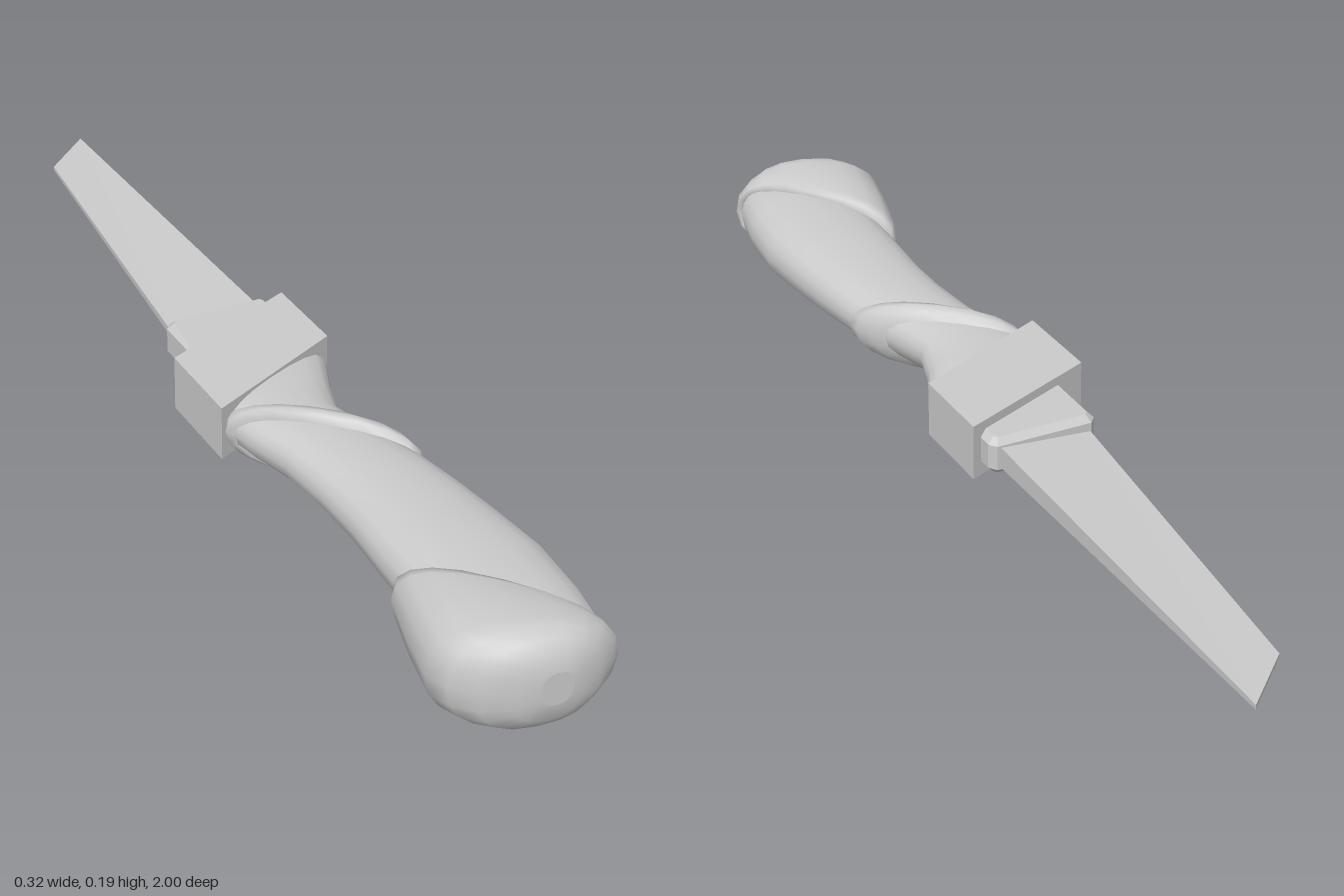
import * as THREE from 'three';

const MID = 0.096; // height of the knife's middle plane
const mat = new THREE.MeshStandardMaterial({ color: 0xcccccc, side: THREE.DoubleSide });

function add(group, name, geometry) {
  const mesh = new THREE.Mesh(geometry, mat);
  mesh.name = name;
  mesh.position.y = MID;
  group.add(mesh);
}

// Skin over rounded sections; each is [leftX, leftZ, rightX, rightZ, halfHeight]
function loft(sections, power = 0.85, n = 20) {
  const pos = [], idx = [];
  const bend = (v) => Math.sign(v) * Math.abs(v) ** power;
  const ring = ([lx, lz, rx, rz, h]) => {
    for (let j = 0; j < n; j++) {
      const a = (j / n) * Math.PI * 2;
      const t = 0.5 + 0.5 * bend(Math.cos(a));
      pos.push(lx + (rx - lx) * t, h * bend(Math.sin(a)), lz + (rz - lz) * t);
    }
  };
  sections.forEach(ring);
  for (let i = 0; i < sections.length - 1; i++) {
    for (let j = 0; j < n; j++) {
      const a = i * n + j, b = i * n + ((j + 1) % n);
      idx.push(a, b, a + n, b, b + n, a + n);
    }
  }
  // flat ends with their own vertices
  [sections[0], sections[sections.length - 1]].forEach((s, end) => {
    const start = pos.length / 3;
    ring(s);
    for (let j = 1; j < n - 1; j++) {
      if (end) idx.push(start, start + j, start + j + 1);
      else idx.push(start, start + j + 1, start + j);
    }
  });
  const g = new THREE.BufferGeometry();
  g.setAttribute('position', new THREE.Float32BufferAttribute(pos, 3));
  g.setIndex(idx);
  g.computeVertexNormals();
  return g;
}

// Flat plate from an (x, z) outline, centred on the middle plane
function plate(outline, thickness, bevel = 0) {
  const shape = new THREE.Shape(outline.map(([x, z]) => new THREE.Vector2(x, -z)));
  const depth = thickness - 2 * bevel;
  const g = new THREE.ExtrudeGeometry(shape, {
    depth, bevelEnabled: bevel > 0, bevelSize: bevel, bevelOffset: -bevel,
    bevelThickness: bevel, bevelSegments: 1,
  });
  g.translate(0, 0, -depth / 2);
  g.rotateX(-Math.PI / 2);
  return g;
}

export function createModel() {
  const group = new THREE.Group();
  group.name = 'knife';

  // Blade: thick spine on +x, thinning to the cutting edge and the tip
  const blade = plate([[-0.072, -0.17], [0.105, -0.17], [0.105, -1], [0.003, -0.905]], 1);
  const p = blade.attributes.position;
  for (let i = 0; i < p.count; i++) {
    const along = (p.getZ(i) + 1) / 0.83;
    const across = THREE.MathUtils.clamp((p.getX(i) + 0.07) / 0.175, 0, 1);
    const half = (0.004 + 0.016 * along) * (0.35 + 0.65 * across);
    p.setY(i, Math.sign(p.getY(i)) * half);
  }
  blade.computeVertexNormals();
  add(group, 'blade', blade);

  // Collar between blade and guard
  add(group, 'collar', plate(
    [[-0.085, 0], [0.122, -0.08], [0.122, -0.175], [0.112, -0.19], [-0.072, -0.19], [-0.085, -0.175]],
    0.07, 0.012));

  // Slanted block guard
  add(group, 'guard', plate(
    [[-0.137, -0.035], [0.14, -0.155], [0.14, 0.022], [-0.09, 0.13], [-0.137, 0.152]], 0.104));

  // Curved grip
  add(group, 'grip', loft([
    [-0.125, -0.02, 0.132, -0.02, 0.045],
    [-0.13, 0.04, 0.13, 0.04, 0.046],
    [-0.13, 0.12, 0.095, 0.12, 0.047],
    [-0.112, 0.2, 0.07, 0.2, 0.048],
    [-0.088, 0.29, 0.09, 0.29, 0.05],
    [-0.079, 0.4, 0.123, 0.4, 0.053],
    [-0.078, 0.5, 0.138, 0.5, 0.057],
    [-0.085, 0.6, 0.149, 0.6, 0.061],
    [-0.092, 0.72, 0.158, 0.72, 0.066],
    [-0.09, 0.84, 0.147, 0.84, 0.067],
    [-0.07, 0.93, 0.128, 0.93, 0.065],
    [-0.04, 0.96, 0.115, 0.96, 0.05],
  ]));

  // Slanted raised band around the neck of the grip
  add(group, 'band', loft([
    [-0.112, 0.115, 0.095, 0.305, 0.044],
    [-0.126, 0.13, 0.112, 0.325, 0.062],
    [-0.128, 0.15, 0.128, 0.36, 0.068],
    [-0.118, 0.168, 0.13, 0.385, 0.064],
    [-0.1, 0.18, 0.118, 0.393, 0.046],
  ], 0.9));

  // Pommel cap, its rim running diagonally across the grip
  add(group, 'pommel', loft([
    [-0.088, 0.682, 0.118, 0.955, 0.062],
    [-0.1, 0.675, 0.126, 0.955, 0.076],
    [-0.114, 0.695, 0.128, 0.962, 0.083],
    [-0.142, 0.79, 0.125, 0.968, 0.09],
    [-0.162, 0.88, 0.112, 0.975, 0.094],
    [-0.148, 0.92, 0.098, 0.983, 0.091],
    [-0.118, 0.957, 0.078, 0.992, 0.082],
    [-0.07, 0.985, 0.045, 0.999, 0.06],
    [-0.03, 0.995, 0.025, 1, 0.03],
  ], 0.82));

  return group;
}
